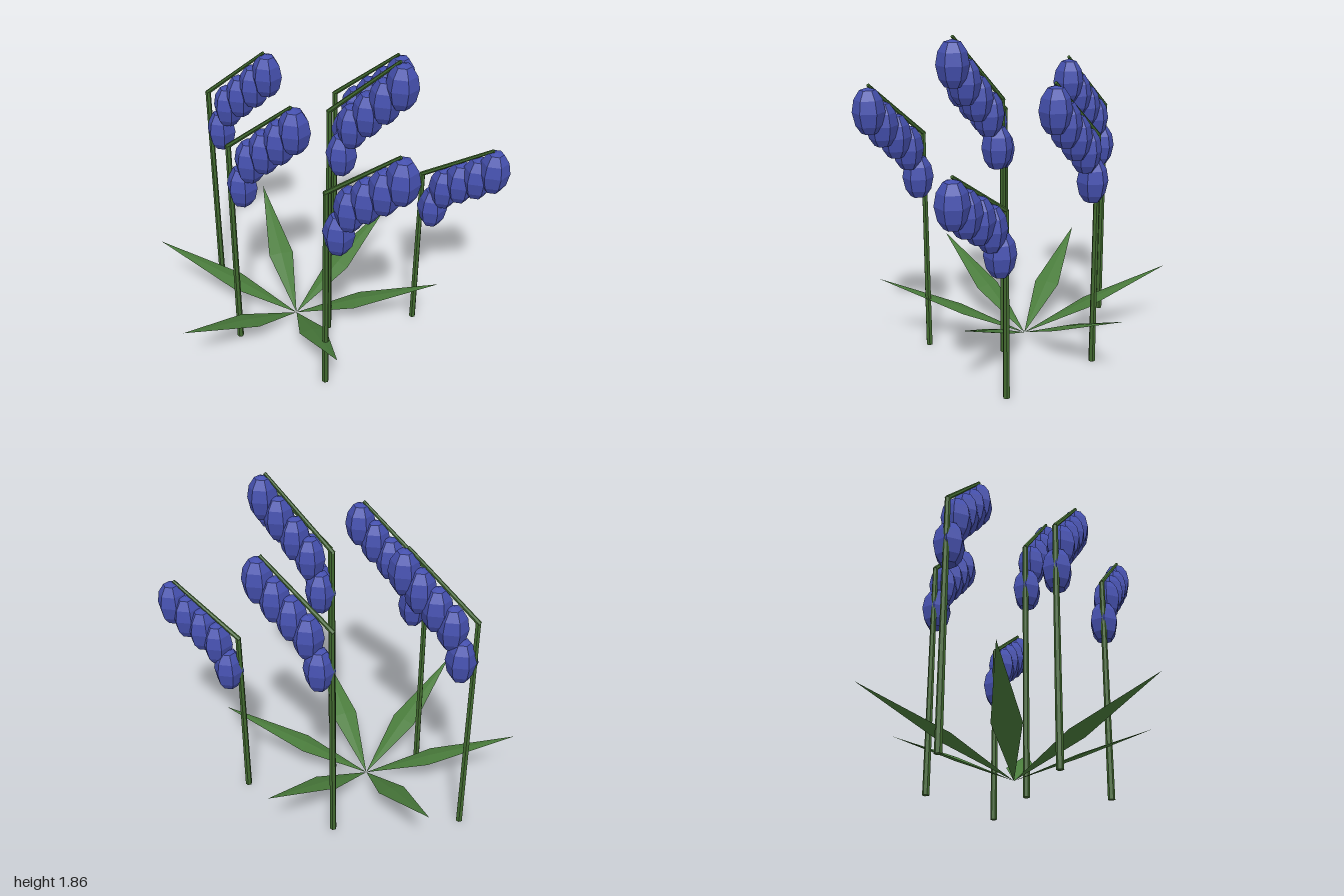
import * as THREE from 'three';

const stemGreen = new THREE.MeshStandardMaterial({ color: 0x41692f, flatShading: true });
stemGreen.name = 'stem green';
const leafGreen = new THREE.MeshStandardMaterial({ color: 0x4a7c3c, flatShading: true });
leafGreen.name = 'leaf green';
const bellBlue = new THREE.MeshStandardMaterial({ color: 0x4550ae, flatShading: true });
bellBlue.name = 'bell blue';

// stems: x, z and height of the bend
const STEMS = [
  [-0.735, -0.28, 1.325],
  [-0.44, 0.24, 1.315],
  [-0.037, -0.462, 1.315],
  [0.05, 0.045, 1.48],
  [0.138, 0.48, 1.275],
  [0.525, -0.178, 1.035],
];

// bells along the arch: x, y, z from the bend, and how y grows with stem height
const BELLS = [
  [0.066, -0.205, 0.003, -0.09],
  [0.125, -0.055, 0.025, 0],
  [0.21, 0.01, 0.05, 0.07],
  [0.298, 0.068, 0.075, 0.16],
  [0.383, 0.132, 0.098, 0.24],
];

// six-sided hanging bell, widest around the middle
const bellGeometry = new THREE.LatheGeometry(
  [[0, -0.12], [0.043, -0.115], [0.07, -0.075], [0.085, -0.005],
    [0.073, 0.06], [0.042, 0.108], [0, 0.12]].map(([r, y]) => new THREE.Vector2(r, y)), 6);
bellGeometry.rotateY(Math.PI / 6);

function rod(from, to, r0, r1, name) {
  const dir = to.clone().sub(from);
  const mesh = new THREE.Mesh(new THREE.CylinderGeometry(r1, r0, dir.length(), 6), stemGreen);
  mesh.position.copy(from).add(to).multiplyScalar(0.5);
  mesh.quaternion.setFromUnitVectors(new THREE.Vector3(0, 1, 0), dir.normalize());
  mesh.name = name;
  return mesh;
}

// thin diamond leaf pointing along +x, with a slight ridge above and below
function leafGeometry() {
  const base = [0, 0.03, 0], tip = [0.84, 0.42, 0];
  const left = [0.37, 0.205, -0.076], right = [0.37, 0.205, 0.076];
  const top = [0.365, 0.215, 0], under = [0.375, 0.195, 0];
  const faces = [
    base, top, left, base, right, top, tip, left, top, tip, top, right,
    base, left, under, base, under, right, tip, under, left, tip, right, under,
  ];
  const geometry = new THREE.BufferGeometry();
  geometry.setAttribute('position', new THREE.Float32BufferAttribute(faces.flat(), 3));
  geometry.computeVertexNormals();
  return geometry;
}

export function createModel() {
  const model = new THREE.Group();
  model.name = 'bell flower clump';

  // flowering stalks
  for (const [x, z, h] of STEMS) {
    const stalk = new THREE.Group();
    stalk.name = 'flowerStalk';
    stalk.position.set(x, 0, z);
    const bend = new THREE.Vector3(0, h, 0);
    stalk.add(rod(new THREE.Vector3(), bend, 0.019, 0.015, 'stem'));
    stalk.add(rod(new THREE.Vector3(-0.008, h - 0.007, -0.002),
      new THREE.Vector3(0.37, h * 1.25, 0.104), 0.013, 0.009, 'arch'));
    for (const [bx, by, bz, grow] of BELLS) {
      const bell = new THREE.Mesh(bellGeometry, bellBlue);
      bell.name = 'bell';
      bell.position.set(bx, h + by + grow * (h - 1.035), bz);
      stalk.add(bell);
    }
    model.add(stalk);
  }

  // rosette of six leaves
  const rosette = new THREE.Group();
  rosette.name = 'leafRosette';
  rosette.position.x = -0.16;
  const blade = leafGeometry();
  for (let i = 0; i < 6; i++) {
    const leaf = new THREE.Mesh(blade, leafGreen);
    leaf.name = 'leaf';
    leaf.rotation.y = i * Math.PI / 3;
    rosette.add(leaf);
  }
  model.add(rosette);
  return model;
}
